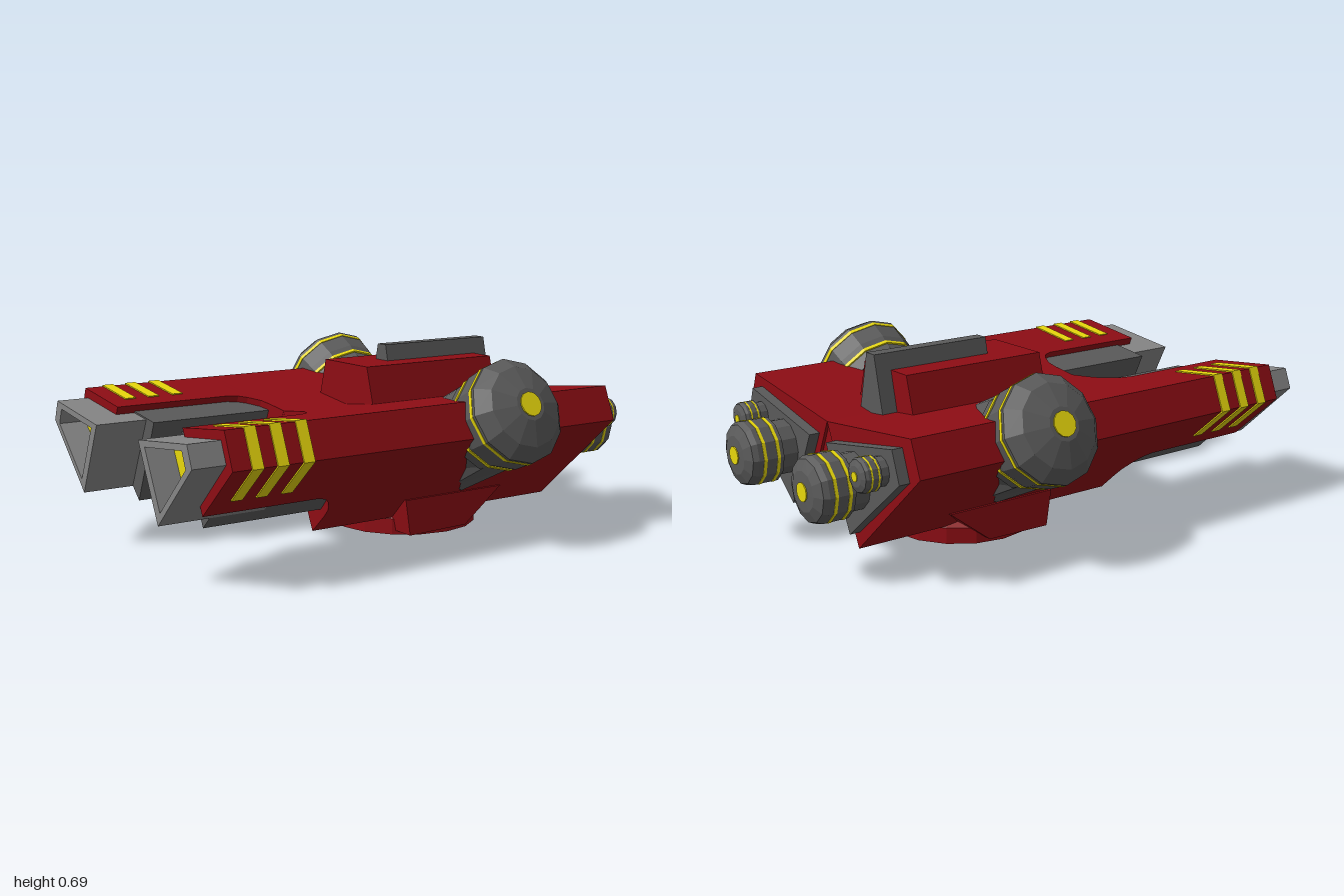
import * as THREE from 'three';

const paint = (color) => new THREE.MeshStandardMaterial({ color, flatShading: true });
const RED = paint(0x8e0d14), GREY = paint(0x5a5a5a), LIGHT = paint(0x858585), YELLOW = paint(0xe8d80c);

function add(parent, geo, mat, name) {
  const m = new THREE.Mesh(geo, mat);
  m.name = name;
  parent.add(m);
  return m;
}

// Joins convex cross-sections [x, [[z, y], ...]], starting at the +x end, mirrored by side
function loft(sections, side = 1) {
  const rings = sections.map(([x, pts]) => {
    const p = pts.map(([z, y]) => new THREE.Vector2(z * side, y));
    if (THREE.ShapeUtils.area(p) < 0) p.reverse();
    return p.map((v) => [x, v.y, v.x]);
  });
  const out = [], n = rings[0].length;
  const tri = (...v) => v.forEach((p) => out.push(...p));
  for (let k = 0; k + 1 < rings.length; k++) {
    const a = rings[k], b = rings[k + 1];
    for (let i = 0; i < n; i++) {
      const j = (i + 1) % n;
      tri(a[i], a[j], b[j]);
      tri(a[i], b[j], b[i]);
    }
  }
  const first = rings[0], last = rings[rings.length - 1];
  for (let i = 1; i + 1 < n; i++) {
    tri(first[0], first[i + 1], first[i]);
    tri(last[0], last[i], last[i + 1]);
  }
  const g = new THREE.BufferGeometry();
  g.setAttribute('position', new THREE.Float32BufferAttribute(out, 3));
  g.computeVertexNormals();
  return g;
}

const prism = (x1, x0, pts, side) => loft([[x1, pts], [x0, pts]], side);
const lathe = (pts, seg = 12) => new THREE.LatheGeometry(pts.map(([r, y]) => new THREE.Vector2(r, y)), seg);

// Hull cross-section whose inner face is cut back by t
function hullSection(t) {
  const s = t * 1.9;
  return [[t, 0.475 + t * 0.123], [0.53, 0.54], [0.58, 0.415], [0.19 + s * 0.39, 0.064 + s * 0.351]];
}

// Round pod along local +y with yellow bands and a yellow lens at the tip
function makePod(name, profile, bands, lensRadius, tip) {
  const g = new THREE.Group();
  g.name = name;
  add(g, lathe(profile), GREY, name + 'Body');
  for (const [r, y, h] of bands) {
    add(g, new THREE.CylinderGeometry(r, r, h, 12), YELLOW, name + 'Band').position.y = y;
  }
  add(g, new THREE.CylinderGeometry(lensRadius, lensRadius, 0.008, 12), YELLOW, name + 'Lens').position.y = tip;
  return g;
}

function makeEngine(name, r, len) {
  const profile = [[0, -0.02], [r * 0.85, -0.02], [r * 0.85, len * 0.28], [r, len * 0.32],
    [r, len * 0.8], [r * 0.92, len * 0.9], [r * 0.6, len * 0.98], [0, len]];
  const g = makePod(name, profile, [[r * 1.015, len * 0.42, len * 0.06], [r * 1.015, len * 0.68, len * 0.06]],
    r * 0.28, len - 0.002);
  g.rotation.z = -Math.PI / 2;
  return g;
}

function makeSide(side) {
  const g = new THREE.Group();
  g.name = side > 0 ? 'leftHalf' : 'rightHalf';

  // Hull half with a rounded notch leading to the forward arm
  const cuts = [[0.76, 0], [-0.34, 0], [-0.34, 0.1], [-0.345, 0.15], [-0.37, 0.205],
    [-0.395, 0.235], [-0.43, 0.25], [-0.88, 0.25]];
  add(g, loft(cuts.map(([x, t]) => [x, hullSection(t)]), side), RED, 'hull');

  // Yellow stripes wrapped around the arm
  const wrap = [[0.33, 0.52], [0.532, 0.545], [0.586, 0.414], [0.442, 0.285], [0.43, 0.31]];
  for (const x of [-0.79, -0.697, -0.6]) add(g, prism(x + 0.021, x - 0.021, wrap, side), YELLOW, 'stripe');

  // Inner barrel and hollow muzzle
  const barrel = [[0.105, 0.463], [0.3, 0.487], [0.4, 0.3], [0.245, 0.155]];
  add(g, prism(-0.33, -0.81, barrel, side), GREY, 'barrel');
  const muzzle = [[0.165, 0.465], [0.51, 0.505], [0.54, 0.43], [0.295, 0.2]];
  const shrink = (k) => muzzle.map(([z, y]) => [0.365 + (z - 0.365) * k, 0.395 + (y - 0.395) * k]);
  const bore = shrink(0.76);
  add(g, loft([[-0.6, muzzle], [-1, muzzle], [-1, bore], [-0.89, bore]], side), LIGHT, 'muzzle');
  add(g, prism(-0.88, -0.9, shrink(0.74), side), YELLOW, 'muzzleGlow');

  // Engine plate and two engines
  const plate = [[0.057, 0.42], [0.48, 0.5], [0.52, 0.39], [0.2, 0.128]];
  add(g, prism(0.8, 0.74, plate, side), GREY, 'enginePlate');
  const big = makeEngine('largeEngine', 0.118, 0.2);
  big.position.set(0.8, 0.335, 0.245 * side);
  const small = makeEngine('smallEngine', 0.06, 0.1);
  small.position.set(0.8, 0.412, 0.413 * side);
  g.add(big, small);

  // Side turret, tilted up and outwards; its root narrows along the hull
  const turret = makePod('turret',
    [[0, -0.26], [0.175, -0.26], [0.18, -0.2], [0.19, -0.17], [0.195, -0.075], [0.15, -0.028], [0.06, 0], [0, 0]],
    [[0.196, -0.095, 0.014], [0.186, -0.2, 0.014]], 0.045, 0.001);
  const root = new THREE.CylinderGeometry(0.178, 0.178, 0.28, 12);
  const p = root.attributes.position;
  for (let i = 0; i < p.count; i++) if (p.getY(i) < 0) p.setX(i, p.getX(i) * 0.42);
  add(turret, root, GREY, 'turretRoot').position.y = -0.36;
  turret.position.set(0.255, 0.535, 0.675 * side);
  turret.rotation.x = side * Math.atan2(0.9, 0.436);
  g.add(turret);

  // Wedge bracket under the hull
  const wedge = new THREE.Shape([[0, 0.15], [0.02, 0.015], [0.28, 0.02], [0.45, 0.15]]
    .map(([x, y]) => new THREE.Vector2(x, y)));
  add(g, new THREE.ExtrudeGeometry(wedge, { depth: 0.19, bevelEnabled: false }), RED, 'bracket')
    .position.z = side > 0 ? 0.105 : -0.295;
  return g;
}

export function createModel() {
  const model = new THREE.Group();
  model.name = 'spacecraft';
  model.add(makeSide(1), makeSide(-1));

  // Spine joining both halves
  add(model, prism(0.75, -0.34, [[0, 0.472], [0.13, 0.19], [-0.13, 0.19]]), RED, 'spine');

  // Raised deck block, slotted at the rear around the fin
  add(model, prism(0.3, -0.065, [[-0.185, 0.46], [-0.137, 0.63], [0.137, 0.63], [0.185, 0.46]]), RED, 'deck');
  for (const s of [1, -1]) {
    add(model, prism(0.52, 0.3, [[0.03, 0.46], [0.03, 0.63], [0.137, 0.63], [0.185, 0.46]], s), RED, 'deckRail');
  }
  add(model, prism(0.58, 0.1, [[-0.075, 0.475], [-0.025, 0.69], [0.025, 0.69], [0.075, 0.475]]), GREY, 'fin');

  // Round base
  const base = add(model, lathe([[0, 0], [0.279, 0], [0.279, 0.06], [0.23, 0.11], [0.13, 0.155], [0, 0.17]], 16),
    RED, 'base');
  base.position.x = 0.205;
  return model;
}
